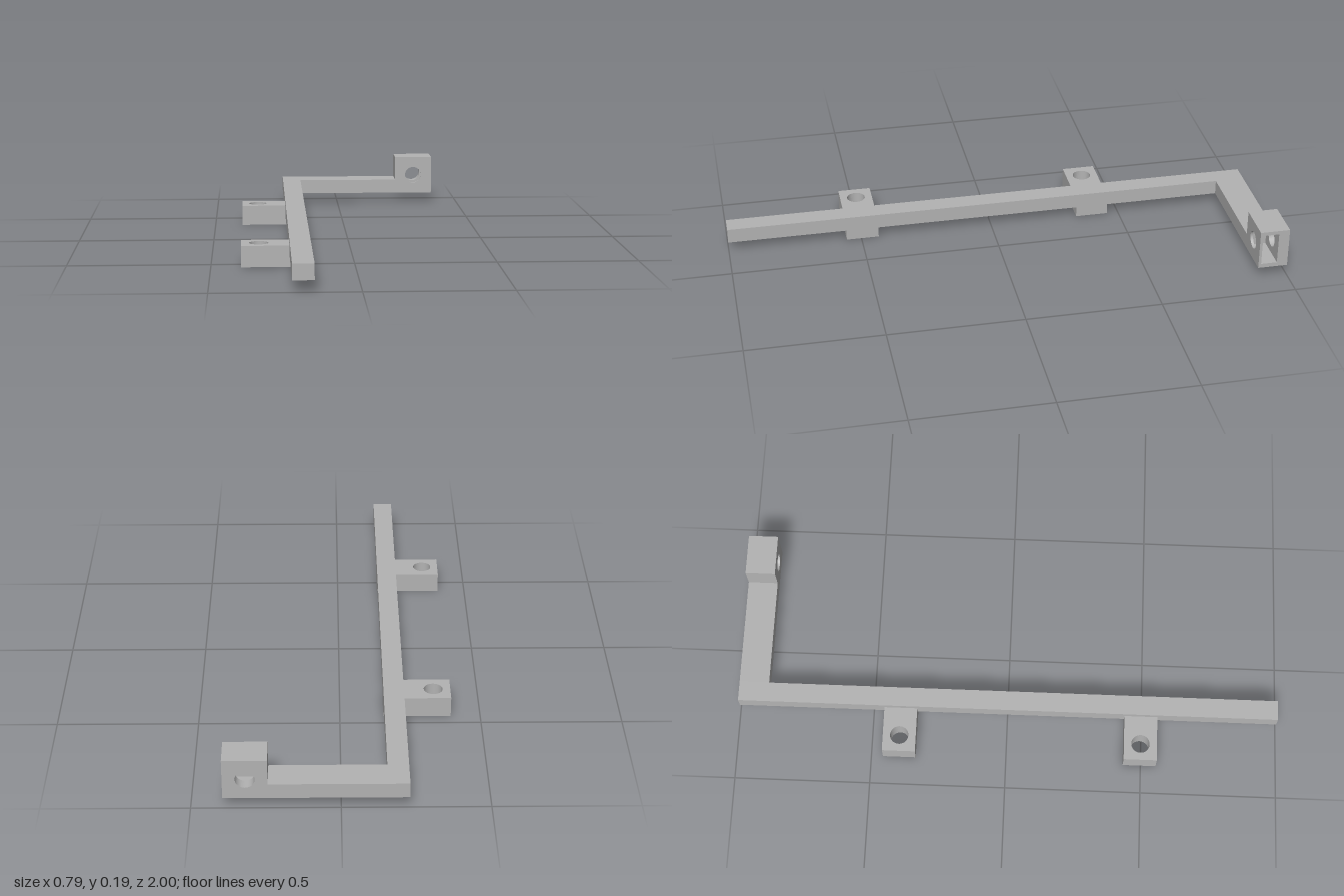
import * as THREE from 'three';

const RAIL = { x0: -0.228, x1: -0.155, y0: 0.04, y1: 0.095 };
const HEAD = { x0: 0.243, x1: 0.394, y0: 0.04, y1: 0.19 };

export function createModel() {
  const group = new THREE.Group();
  const grey = new THREE.MeshStandardMaterial({ color: 0xb3b3b3 });
  grey.name = 'plain grey';

  function add(parent, name, geometry) {
    const mesh = new THREE.Mesh(geometry, grey);
    mesh.name = name;
    parent.add(mesh);
    return mesh;
  }

  // Box given by its limits on each axis
  function box(parent, name, x0, x1, y0, y1, z0, z1) {
    const g = new THREE.BoxGeometry(x1 - x0, y1 - y0, z1 - z0);
    g.translate((x0 + x1) / 2, (y0 + y1) / 2, (z0 + z1) / 2);
    return add(parent, name, g);
  }

  function outline(points) {
    return new THREE.Shape(points.map(([x, y]) => new THREE.Vector2(x, y)));
  }

  // Rectangle with one round hole
  function drilled(x0, x1, y0, y1, cx, cy, r) {
    const shape = outline([[x0, y0], [x1, y0], [x1, y1], [x0, y1]]);
    const hole = new THREE.Path();
    hole.absarc(cx, cy, r, 0, Math.PI * 2, true);
    shape.holes.push(hole);
    return shape;
  }

  function extrude(shape, depth) {
    return new THREE.ExtrudeGeometry(shape, { depth, bevelEnabled: false, curveSegments: 24 });
  }

  // Long rail and the arm at its back end
  box(group, 'rail', RAIL.x0, RAIL.x1, RAIL.y0, RAIL.y1, -1, 1);
  box(group, 'arm', RAIL.x1, HEAD.x0, RAIL.y0, RAIL.y1, -1, -0.89);

  // Mounting tabs: a drilled lug beside the rail and a foot beneath it
  for (const z of [-0.396, 0.495]) {
    const tab = new THREE.Group();
    tab.name = 'mountingTab';
    const lug = extrude(drilled(-0.395, RAIL.x0, -0.061, 0.061, -0.334, 0, 0.034), 0.075);
    lug.rotateX(-Math.PI / 2);
    add(tab, 'lug', lug);
    box(tab, 'foot', RAIL.x0, RAIL.x1, 0, RAIL.y0, -0.061, 0.061);
    tab.position.z = z;
    group.add(tab);
  }

  // Clamp head: two drilled walls around a slot open at the end
  const head = new THREE.Group();
  head.name = 'clampHead';
  const wall = drilled(HEAD.x0, HEAD.x1, HEAD.y0, HEAD.y1, 0.318, 0.115, 0.033);
  add(head, 'backWall', extrude(wall, 0.04)).position.z = -1;
  add(head, 'frontWall', extrude(wall, 0.01)).position.z = -0.9;
  const slotFrame = outline([
    [HEAD.x0, HEAD.y0], [HEAD.x1, HEAD.y0], [HEAD.x1, 0.056], [0.258, 0.056],
    [0.258, 0.176], [HEAD.x1, 0.176], [HEAD.x1, HEAD.y1], [HEAD.x0, HEAD.y1],
  ]);
  add(head, 'slotFrame', extrude(slotFrame, 0.06)).position.z = -0.96;
  group.add(head);

  return group;
}
